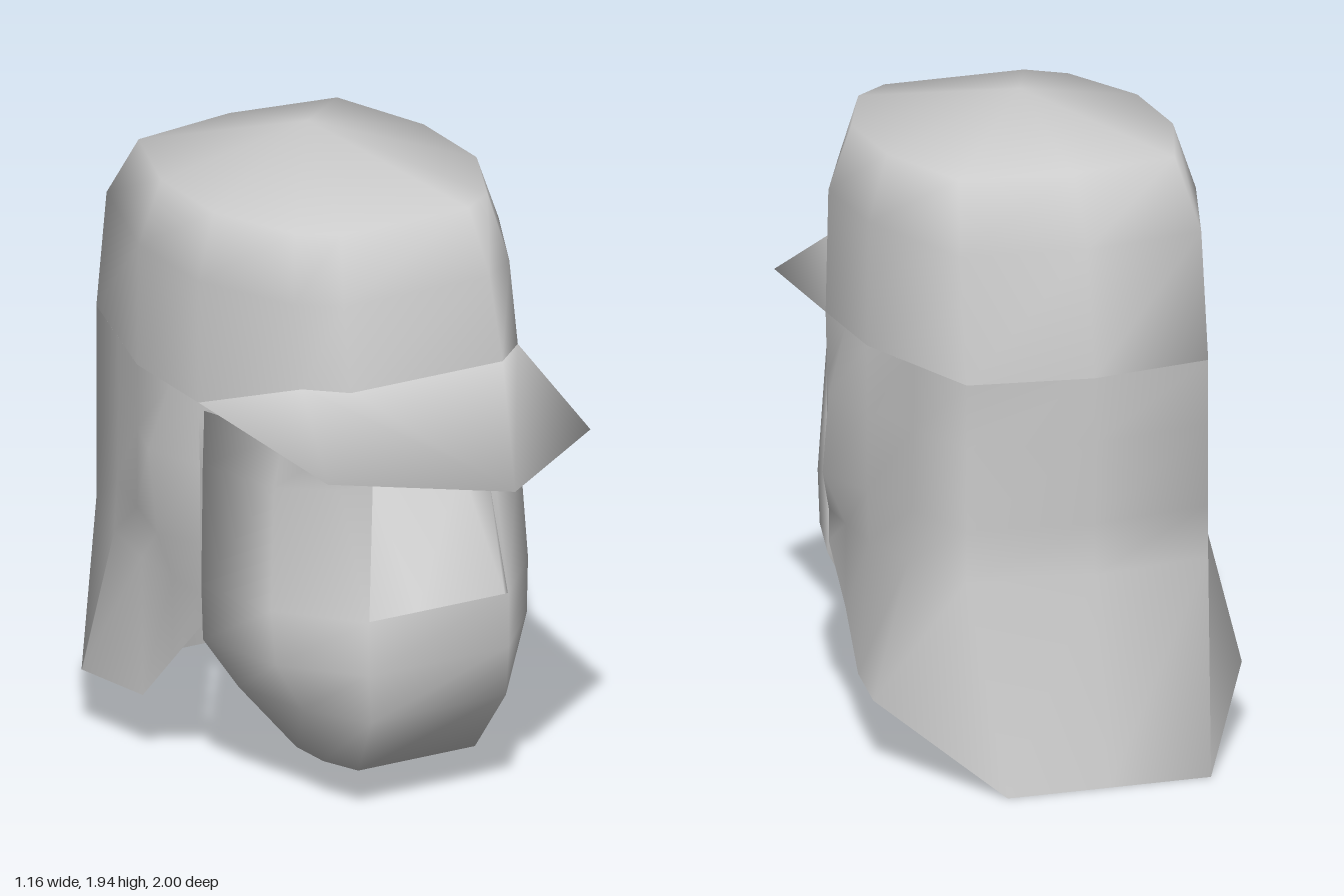
import * as THREE from 'three';
import { mergeVertices } from 'three/addons/utils/BufferGeometryUtils.js';

const grey = new THREE.MeshStandardMaterial({ color: 0xcccccc, side: THREE.DoubleSide });
grey.name = 'plainGrey';

// Smooth skin over rows (top to bottom) of half cross-sections (front to back, x >= 0).
// Each row is mirrored and joined at the 'front', the 'back' or 'both'.
function skin(name, rows, join) {
  const full = rows.map((half) => {
    const mirrored = half.map(([x, y, z]) => [-x, y, z]).reverse();
    return join === 'front' ? [...mirrored, ...half] : [...half, ...mirrored];
  });
  const n = full[0].length;
  const spans = join === 'both' ? n : n - 1;
  const index = [];
  for (let i = 0; i < full.length - 1; i++) {
    for (let j = 0; j < spans; j++) {
      const k = (j + 1) % n;
      const a = i * n + j, b = i * n + k, c = a + n, d = b + n;
      index.push(a, c, b, b, c, d);
    }
  }
  let geometry = new THREE.BufferGeometry();
  geometry.setAttribute('position', new THREE.Float32BufferAttribute(full.flat(2), 3));
  geometry.setIndex(index);
  geometry = mergeVertices(geometry, 1e-4);
  geometry.computeVertexNormals();
  const mesh = new THREE.Mesh(geometry, grey);
  mesh.name = name;
  return mesh;
}

// A row of points that share one height
const level = (y, points) => points.map(([x, z]) => [x, y, z]);
// A row collapsed to a single point
const point = (p, count) => Array.from({ length: count }, () => p);

export function createModel() {
  const group = new THREE.Group();
  group.name = 'cappedHead';

  // Crown of the cap, with a raised front edge above the visor
  group.add(skin('capCrown', [
    point([0, 1.94, -0.22], 6),
    level(1.81, [[0.22, 0.35], [0.33, 0.27], [0.45, 0], [0.45, -0.31], [0.34, -0.63], [0, -0.68]]),
    level(1.61, [[0.25, 0.42], [0.37, 0.33], [0.515, 0.02], [0.515, -0.33], [0.38, -0.75], [0, -0.81]]),
    [[0.26, 1.36, 0.48], [0.37, 1.36, 0.38], [0.52, 1.23, 0.03], [0.52, 1.23, -0.33],
      [0.38, 1.23, -0.81], [0, 1.23, -0.87]],
  ], 'both'));

  // Neck flap with ear bulges, flaring out toward the bottom
  group.add(skin('neckFlap', [
    level(1.23, [[0.52, 0.03], [0.52, -0.14], [0.52, -0.33], [0.456, -0.55], [0.38, -0.81], [0, -0.87]]),
    level(1.03, [[0.515, 0.03], [0.58, -0.16], [0.52, -0.33], [0.456, -0.55], [0.38, -0.81], [0, -0.87]]),
    level(0.78, [[0.515, 0.03], [0.58, -0.11], [0.52, -0.33], [0.46, -0.55], [0.38, -0.81], [0, -0.87]]),
    level(0.62, [[0.51, 0.03], [0.515, -0.13], [0.51, -0.32], [0.47, -0.55], [0.38, -0.81], [0, -0.87]]),
    [[0.51, 0.52, 0.03], [0.515, 0.36, -0.13], [0.53, 0.2, -0.28], [0.58, 0.2, -0.55],
      [0.32, 0, -1], [0, 0, -1]],
  ], 'back'));

  // Pointed visor: top face, outer rim, underside
  group.add(skin('visor', [
    [[0.26, 1.36, 0.48], [0.37, 1.36, 0.38], [0.37, 1.36, 0.38], [0.52, 1.23, 0.03]],
    [[0, 1.17, 1], [0, 1.17, 1], [0.45, 1.17, 0.67], [0.52, 1.23, 0.03]],
    [[0.26, 1.19, 0.47], [0.4, 1.19, 0.33], [0.4, 1.19, 0.33], [0.5, 1.22, 0.03]],
  ], 'front'));

  // Face and jaw, closed behind and below
  group.add(skin('face', [
    level(1.2, [[0.26, 0.47], [0.4, 0.33], [0.5, 0.03]]),
    level(1.03, [[0.26, 0.42], [0.42, 0.3], [0.505, 0.03]]),
    level(0.65, [[0.24, 0.55], [0.44, 0.32], [0.51, 0.03]]),
    level(0.48, [[0.24, 0.55], [0.43, 0.33], [0.51, 0.04]]),
    level(0.33, [[0.23, 0.55], [0.35, 0.35], [0.42, 0.095]]),
    level(0.13, [[0.2, 0.42], [0.25, 0.3], [0.26, 0.16]]),
    point([0, 0.13, 0.29], 3),
  ], 'both'));

  // Wedge nose with a flat underside
  group.add(skin('nose', [
    [[0.15, 1.03, 0.42], [0.24, 1.03, 0.415]],
    [[0.15, 0.71, 0.68], [0.24, 0.65, 0.545]],
  ], 'front'));
  group.add(skin('noseUnderside', [
    [[0.15, 0.71, 0.68], [0.24, 0.65, 0.545]],
    [[0.15, 0.65, 0.545], [0.24, 0.65, 0.545]],
  ], 'front'));

  return group;
}
